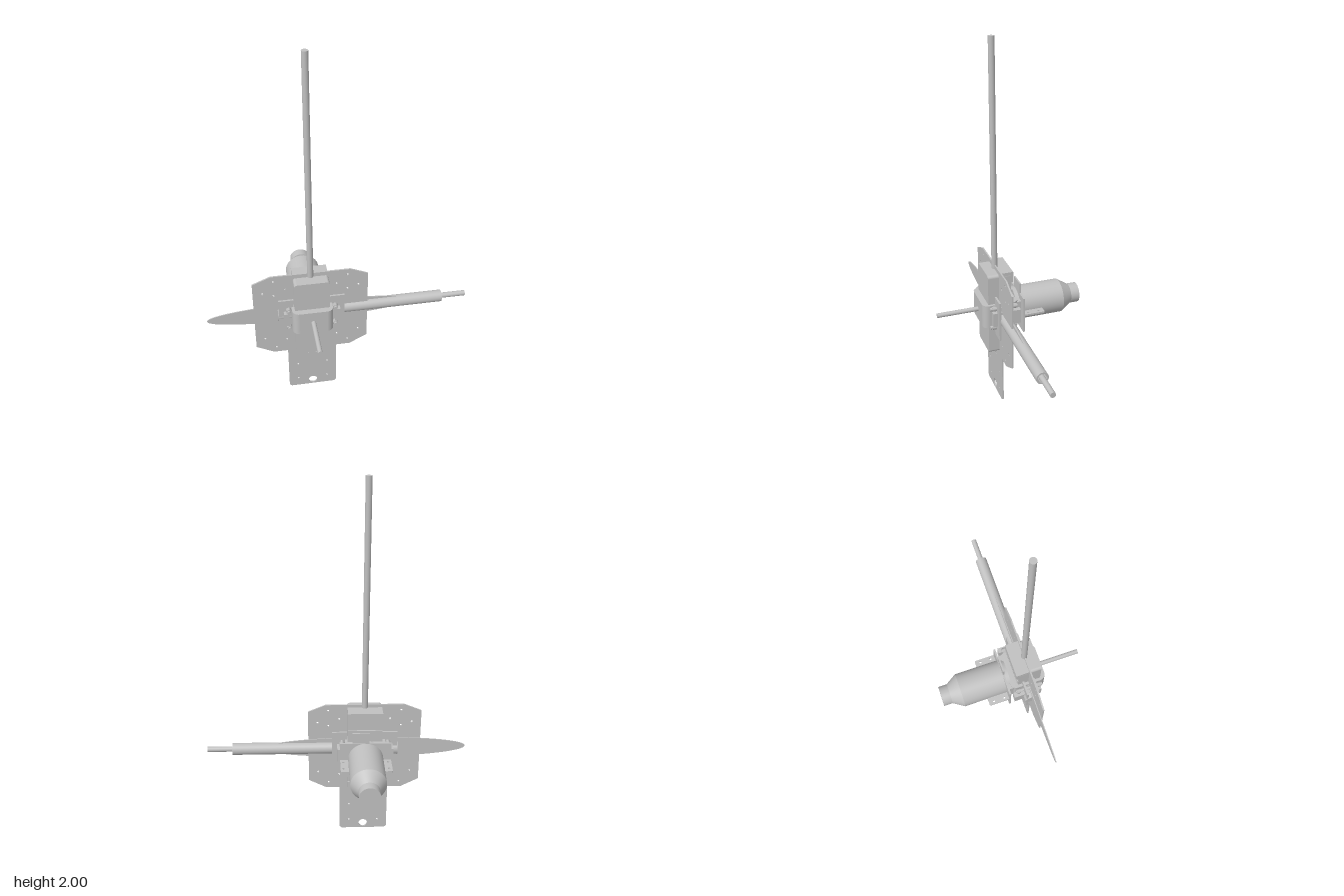
import * as THREE from 'three';

const CX = -0.152, CY = 0.547, PZ = 0.072; // main axis and plate plane

export function createModel() {
  const model = new THREE.Group();
  const grey = new THREE.MeshStandardMaterial({ color: 0xc0c0c0 });
  grey.name = 'plain grey';

  const add = (name, geo, x = 0, y = 0, z = 0) => {
    const m = new THREE.Mesh(geo, grey);
    m.name = name;
    m.position.set(x, y, z);
    model.add(m);
    return m;
  };
  // box given by its limits
  const box = (name, x0, x1, y0, y1, z0, z1) =>
    add(name, new THREE.BoxGeometry(x1 - x0, y1 - y0, z1 - z0), (x0 + x1) / 2, (y0 + y1) / 2, (z0 + z1) / 2);
  // cylinder along one axis, centred at x, y, z
  const rod = (name, axis, r, len, x, y, z, seg = 24) => {
    const g = new THREE.CylinderGeometry(r, r, len, seg);
    if (axis === 'x') g.rotateZ(Math.PI / 2);
    if (axis === 'z') g.rotateX(Math.PI / 2);
    return add(name, g, x, y, z);
  };
  const extrude = (shape, depth) =>
    new THREE.ExtrudeGeometry(shape, { depth, bevelEnabled: false, curveSegments: 10 });
  const roundRect = (w, h, r) => {
    const s = new THREE.Shape(), a = w / 2, b = h / 2;
    s.absarc(a - r, b - r, r, 0, Math.PI / 2);
    s.absarc(-a + r, b - r, r, Math.PI / 2, Math.PI);
    s.absarc(-a + r, -b + r, r, Math.PI, Math.PI * 1.5);
    s.absarc(a - r, -b + r, r, Math.PI * 1.5, Math.PI * 2);
    return s;
  };

  // mounting plate with chamfered corners, lower tab and drilled holes
  const half = [[0.122, 0.005], [0.133, 0.016], [0.133, 0.285], [0.208, 0.285], [0.303, 0.335],
    [0.303, 0.765], [0.208, 0.805]];
  const outline = [...half, ...half.map(([x, y]) => [-x, y]).reverse()];
  const plate = new THREE.Shape(outline.map(([x, y]) => new THREE.Vector2(x, y)));
  const hole = (x, y, r) => plate.holes.push(new THREE.Path().absarc(x, y, r, 0, Math.PI * 2, true));
  hole(0, 0.037, 0.024);
  const drilled = [[0.253, 0.7], [0.195, 0.772], [0.195, 0.68], [0.253, 0.389], [0.195, 0.32],
    [0.136, 0.37], [0.136, 0.72], [0.081, 0.17], [0.081, 0.061], [0.021, 0.254]];
  for (const [x, y] of drilled) for (const s of [-1, 1]) hole(s * x, y, 0.006);
  add('mountingPlate', extrude(plate, 0.008), CX, 0, PZ);

  // flat elliptical blade just behind the plate
  const blade = new THREE.Shape().absellipse(0, 0, 0.548, 0.061, 0, Math.PI * 2);
  add('blade', new THREE.ExtrudeGeometry(blade, { depth: 0.005, bevelEnabled: false, curveSegments: 48 }),
    CX, CY, PZ - 0.006);

  // tall housing with raised end ribs at the back
  add('housing', extrude(roundRect(0.185, 0.47, 0.015), 0.128), CX, 0.547, 0.012);
  for (const s of [-1, 1]) {
    const y = CY + s * 0.212;
    box('housingEndRib', CX - 0.092, CX + 0.092, y - 0.03, y + 0.03, 0, 0.072);
    box('housingRib', CX - 0.092, CX + 0.092, CY + s * 0.13 - 0.008, CY + s * 0.13 + 0.008, 0.004, 0.03);
  }

  // central clamp block, rounded at the front corners
  const block = extrude(roundRect(0.215, 0.2, 0.035), 0.135);
  block.rotateX(-Math.PI / 2);
  add('clampBlock', block, CX, CY - 0.0675, 0.072);
  box('clampBack', CX - 0.1, CX + 0.1, CY - 0.06, CY + 0.06, -0.045, 0.02);

  // clamp flanges, bolts and edge bars on both sides
  for (const s of [-1, 1]) {
    const x = CX + s * 0.135;
    for (const z of [0.04, 0.1])
      box('clampFlange', x - 0.04, x + 0.04, 0.432, 0.658, z - 0.005, z + 0.005);
    box('sideBar', x - 0.014, x + 0.014, CY - 0.04, CY + 0.04, -0.025, 0.13);
    for (const t of [-1, 1]) {
      rod('clampBolt', 'z', 0.009, 0.15, x - s * 0.012, CY + t * 0.056, 0.065, 12);
      rod('boltHead', 'z', 0.015, 0.02, x - s * 0.012, CY + t * 0.056, 0.12, 6);
      rod('boltNut', 'z', 0.015, 0.02, x - s * 0.012, CY + t * 0.056, 0.005, 6);
    }
  }
  rod('leftHub', 'x', 0.04, 0.09, -0.285, CY, 0.066);

  // vertical and forward rods
  rod('mast', 'y', 0.016, 1.46, CX, 1.27, 0.075);
  rod('frontShaft', 'z', 0.0125, 0.25, CX, CY, 0.275);

  // side tube, open at the end, with a thinner rod inside
  const wall = [[0.032, 0], [0.032, 0.57], [0.024, 0.57], [0.024, 0.45], [0, 0.45]];
  for (let i = 0; i < wall.length - 1; i++) {
    const g = new THREE.LatheGeometry([wall[i], wall[i + 1]].map(p => new THREE.Vector2(...p)), 32);
    g.rotateZ(-Math.PI / 2);
    add('sideTube', g, -0.01, CY, 0.067);
  }
  rod('sideRod', 'x', 0.0145, 0.285, 0.5525, CY, 0.067);

  // motor: body, tapered shoulder, rear neck and end cap
  const profile = [[0, 0.02], [0.093, 0.02], [0.093, 0.295], [0.055, 0.355], [0.055, 0.404], [0, 0.404]];
  for (let i = 0; i < profile.length - 1; i++) {
    const g = new THREE.LatheGeometry([profile[i], profile[i + 1]].map(p => new THREE.Vector2(...p)), 48);
    g.rotateX(-Math.PI / 2);
    add('motor', g, CX, CY, 0);
  }

  // motor bracket: upright plate, top tongue and two drilled side shelves
  box('bracketPlate', CX - 0.135, CX + 0.135, 0.435, 0.64, -0.052, -0.042);
  box('bracketTongue', CX - 0.02, CX + 0.07, 0.64, 0.7, -0.05, -0.042);
  for (const s of [-1, 1]) {
    const shelf = roundRect(0.045, 0.118, 0.004);
    for (const t of [-1, 1])
      shelf.holes.push(new THREE.Path().absarc(s * 0.006, t * 0.03, 0.006, 0, Math.PI * 2, true));
    const g = extrude(shelf, 0.01);
    g.rotateX(-Math.PI / 2);
    add('bracketShelf', g, CX + s * 0.1125, 0.531, -0.106);
  }
  return model;
}
